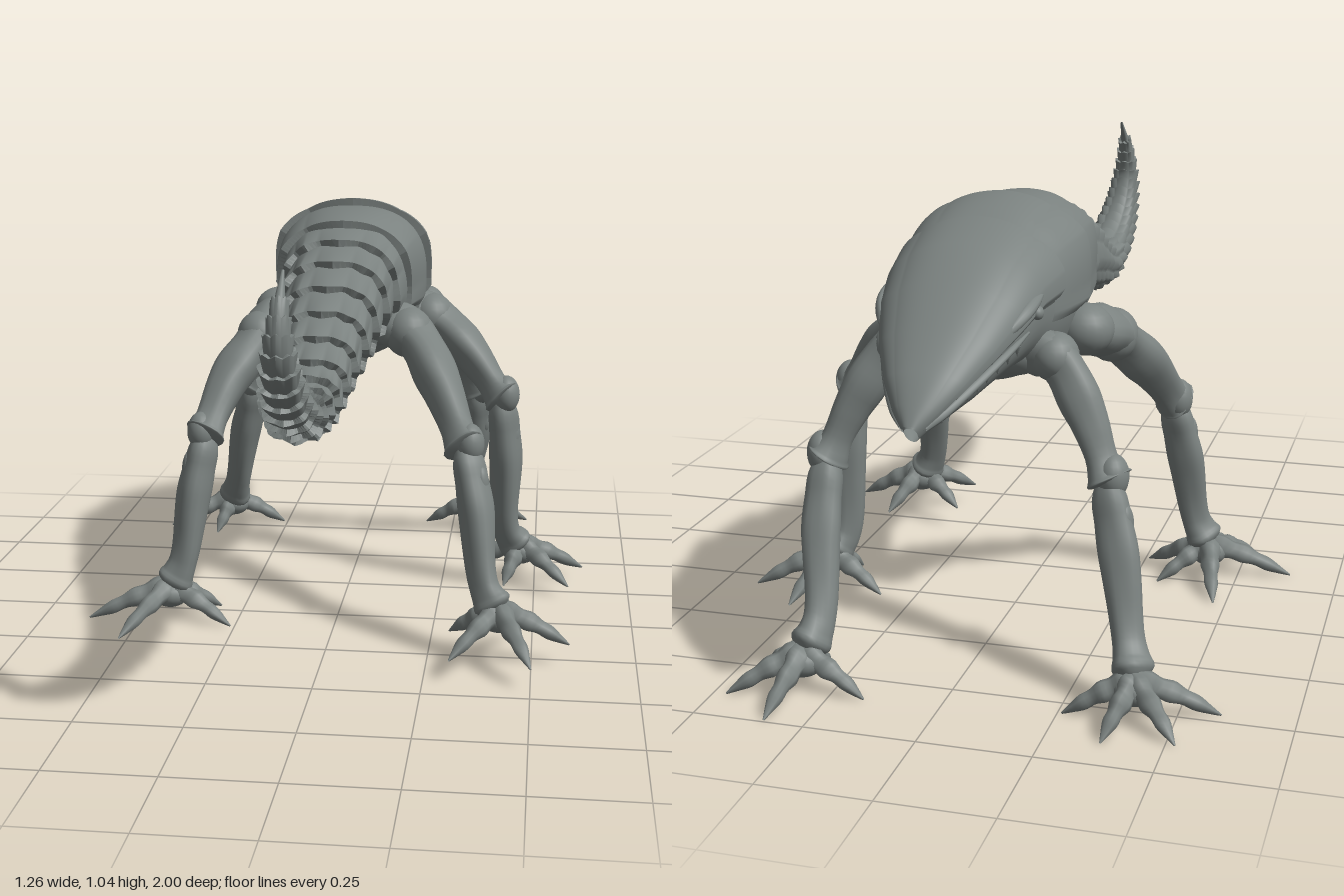
import * as THREE from 'three';
import { ParametricGeometry } from 'three/addons/geometries/ParametricGeometry.js';

const V = (x, y, z) => new THREE.Vector3(x, y, z);
const hide = new THREE.MeshStandardMaterial({ color: 0x7b8280, side: THREE.DoubleSide });
hide.name = 'greyHide';

// Spine stations from snout to tail tip: z, y, half width, height above, depth below
const STATIONS = [
  [-0.985, 0.66, 0.014, 0.02, 0.024], [-0.94, 0.695, 0.052, 0.036, 0.048],
  [-0.85, 0.745, 0.1, 0.06, 0.085], [-0.72, 0.80, 0.147, 0.1, 0.122],
  [-0.60, 0.83, 0.168, 0.138, 0.155], [-0.48, 0.83, 0.184, 0.17, 0.195],
  [-0.34, 0.83, 0.19, 0.182, 0.214], [-0.18, 0.83, 0.163, 0.163, 0.18],
  [-0.05, 0.82, 0.13, 0.132, 0.12], [0.10, 0.80, 0.11, 0.105, 0.095],
  [0.25, 0.765, 0.09, 0.082, 0.08], [0.40, 0.725, 0.07, 0.06, 0.062],
  [0.55, 0.69, 0.056, 0.045, 0.045], [0.70, 0.695, 0.046, 0.036, 0.036],
  [0.82, 0.735, 0.04, 0.034, 0.034], [0.91, 0.80, 0.033, 0.028, 0.03],
  [0.957, 0.88, 0.025, 0.022, 0.025], [0.945, 0.96, 0.014, 0.015, 0.017],
  [0.89, 1.035, 0.003, 0.003, 0.003],
];
const LAST = STATIONS.length - 1;
const spine = new THREE.CatmullRomCurve3(STATIONS.map(s => V(0, s[1], s[0])));
const girth = new THREE.CatmullRomCurve3(STATIONS.map(s => V(s[2], s[3], s[4])), false, 'catmullrom');

// Point on the body: station s, angle a from the top (positive toward +x), outward offset
function skin(s, a, offset = 0) {
  const t = THREE.MathUtils.clamp(s / LAST, 0, 1);
  const p = spine.getPoint(t), d = spine.getTangent(t), g = girth.getPoint(t);
  const sn = Math.sin(a), cs = Math.cos(a);
  const x = (g.x + offset) * Math.sign(sn) * Math.abs(sn) ** (cs > 0 ? 0.78 : 1);
  const h = cs > 0 ? (g.y + offset) * cs ** 0.78 : -(g.z + offset) * Math.abs(cs) ** 0.9;
  return V(x, p.y + h * d.z, p.z - h * d.y);
}

function surface(name, fn, nu, nv) {
  const geo = new ParametricGeometry((u, v, out) => out.copy(fn(u, v)), nu, nv);
  const mesh = new THREE.Mesh(geo, hide);
  mesh.name = name;
  return mesh;
}

// Armour plate between two stations, with a flared ragged rear edge and a lip
function plate(name, s0, s1, reach, flare, teeth, ragged) {
  const full = reach >= Math.PI - 0.01;
  const at = (u, v, lift) => {
    const a = reach * (1 - 2 * u);
    const fade = full ? 1 : Math.min(1, (1 - Math.abs(a) / reach) * 16);
    const jag = Math.abs(((Math.abs(a) * teeth / Math.PI) % 2) - 1);
    const s = s0 + (s1 - s0) * v * (1 + ragged * (jag - 0.5));
    return skin(s, a, lift ? fade * (0.003 + flare * v * (0.7 + 0.5 * jag)) : -0.003);
  };
  const g = new THREE.Group();
  g.name = name;
  g.add(surface(name + 'Shell', (u, v) => at(u, v, true), 60, 6),
    surface(name + 'Lip', (u, v) => at(u, 1, v < 0.5), 60, 1));
  return g;
}

// Tapered, slightly sinewy limb through points, with radii spread evenly along it
function limb(name, points, radii, ref = V(0, 0, 1), nu = 14, nv = 28) {
  const path = new THREE.CatmullRomCurve3(points);
  const size = new THREE.CatmullRomCurve3(radii.map(r => V(r, 0, 0)), false, 'catmullrom');
  return surface(name, (u, v) => {
    const p = path.getPoint(v), d = path.getTangent(v);
    const side = V().crossVectors(ref, d).normalize(), up = V().crossVectors(d, side);
    const a = 2 * Math.PI * u;
    const r = Math.max(0.001, size.getPoint(v).x) * (1 + 0.07 * Math.cos(3 * a + 5 * v));
    return p.addScaledVector(side, r * Math.cos(a)).addScaledVector(up, r * Math.sin(a));
  }, nu, nv);
}

function blob(name, p, sx, sy, sz) {
  const mesh = new THREE.Mesh(new THREE.SphereGeometry(1, 20, 14), hide);
  mesh.position.copy(p);
  mesh.scale.set(sx, sy, sz);
  mesh.name = name;
  return mesh;
}

// Leg: bulging thigh, bony knee, shin, and a foot with splayed clawed toes
function leg({ name, root, hip, knee, ankle, foot, ground, bulk, tips }) {
  const g = new THREE.Group();
  g.name = name;
  const R = V(...root), H = V(...hip), K = V(...knee), A = V(...ankle);
  const F = V(foot[0], ground + 0.075, foot[1]);
  const out = Math.sign(H.x);
  const thighMid = H.clone().lerp(K, 0.5).add(V(out * 0.01, 0.01, 0));
  const kneeEnd = K.clone().add(K.clone().sub(H).setLength(0.02));
  const shinMid = K.clone().lerp(A, 0.45).add(V(out * 0.006, 0, 0));
  const thighRadii = [0.04, 0.06, 0.06, 0.053, 0.056, 0.048, 0.041, 0.048, 0.049, 0.004];
  g.add(blob('shoulder', R, 0.066, 0.06, 0.066),
    blob('hipJoint', H, 0.062 * bulk, 0.064 * bulk, 0.068 * bulk),
    limb('thigh', [R, H, thighMid, K, kneeEnd], thighRadii.map((r, i) => (i < 7 ? r * bulk : r)),
      V(0, 0, 1), 18, 32),
    limb('shin', [K.clone().lerp(A, -0.05), shinMid, A, F],
      [0.01, 0.037, 0.041, 0.044, 0.041, 0.037, 0.036, 0.04, 0.045, 0.01], V(0, 0, 1), 18, 32),
    blob('kneecap', K.clone().add(V(out * 0.014, 0, 0)), 0.036, 0.05, 0.042),
    blob('calfKnob', K.clone().lerp(A, 0.3).add(V(out * 0.026, 0, 0)), 0.02, 0.05, 0.026),
    blob('footPad', F.clone().setY(ground + 0.065), 0.048, 0.036, 0.048));
  for (const [x, z] of tips) {
    const tip = V(x, ground + 0.003, z);
    const mid = F.clone().lerp(tip, 0.5).setY(ground + 0.05);
    const start = F.clone().setY(ground + 0.085);
    g.add(limb('toe', [start, mid, tip], [0.026, 0.03, 0.022, 0.024, 0.017, 0.017, 0.01, 0.002],
      V(0, 1, 0), 10, 20));
  }
  return g;
}

const LEGS = [
  { name: 'rearLeftLeg', root: [0.09, 0.75, -0.12], hip: [0.17, 0.73, -0.09], knee: [0.325, 0.51, 0.165],
    ankle: [0.385, 0.19, 0.265], foot: [0.42, 0.28], ground: 0.05, bulk: 1,
    tips: [[0.59, 0.28], [0.5, 0.45], [0.31, 0.42], [0.3, 0.22], [0.47, 0.14]] },
  { name: 'rearRightLeg', root: [-0.2, 0.735, -0.36], hip: [-0.23, 0.69, -0.22], knee: [-0.335, 0.48, 0.0],
    ankle: [-0.39, 0.15, 0.055], foot: [-0.425, 0.06], ground: 0, bulk: 1,
    tips: [[-0.47, -0.13], [-0.31, -0.03], [-0.63, 0.1], [-0.52, 0.24], [-0.26, 0.12]] },
  { name: 'middleLeftLeg', root: [0.1, 0.74, -0.37], hip: [0.21, 0.725, -0.36], knee: [0.4, 0.54, -0.25],
    ankle: [0.425, 0.16, -0.285], foot: [0.46, -0.31], ground: 0.03, bulk: 0.95,
    tips: [[0.5, -0.48], [0.63, -0.37], [0.59, -0.2], [0.31, -0.36], [0.42, -0.19]] },
  { name: 'frontLeftLeg', root: [0.09, 0.73, -0.54], hip: [0.18, 0.72, -0.555], knee: [0.325, 0.48, -0.62],
    ankle: [0.3, 0.15, -0.77], foot: [0.32, -0.82], ground: 0, bulk: 0.86,
    tips: [[0.17, -0.85], [0.34, -0.995], [0.47, -0.9], [0.45, -0.78], [0.31, -0.69]] },
  { name: 'frontRightLeg', root: [-0.09, 0.73, -0.54], hip: [-0.18, 0.72, -0.555], knee: [-0.31, 0.48, -0.615],
    ankle: [-0.385, 0.15, -0.72], foot: [-0.41, -0.77], ground: 0, bulk: 0.86,
    tips: [[-0.37, -0.91], [-0.52, -0.88], [-0.59, -0.72], [-0.44, -0.66], [-0.26, -0.8]] },
];

export function createModel() {
  const model = new THREE.Group();
  model.name = 'armouredCreature';
  model.add(surface('body', (u, v) => skin(v * LAST, Math.PI * (1 - 2 * u)), 48, 110));

  // Head shield and broad back plates
  model.add(plate('headShield', 0.05, 4.6, 1.55, 0.014, 5, 0.03),
    plate('neckPlate', 4.4, 6.0, 1.75, 0.02, 6, 0.06),
    plate('backPlate', 5.75, 7.35, 1.85, 0.022, 6, 0.08));

  // Overlapping spiky rings shrinking toward the tail tip
  for (let s = 7.1, i = 0; s < 17; i++) {
    const step = Math.max(0.4, 0.8 - 0.035 * i);
    const reach = Math.min(Math.PI, 1.85 + 0.3 * Math.max(0, s - 7));
    const end = Math.min(LAST - 0.5, s + step * 1.2);
    const flare = Math.min(0.02, girth.getPoint(end / LAST).x * 0.42);
    model.add(plate('tailRing', s, end, reach, flare, s < 12 ? 12 : 8, 0.16));
    s += step;
  }

  // Face: eyes, brow ridges, lips and small teeth
  for (const m of [-1, 1]) {
    model.add(blob('eye', skin(3.55, m * 1.47, 0.01), 0.013, 0.015, 0.017),
      limb('browRidge', [skin(2.6, m * 1.3), skin(3.2, m * 1.28, 0.01), skin(4.1, m * 1.3, 0.004)],
        [0.002, 0.01, 0.014, 0.012, 0.002], V(0, 1, 0)),
      limb('lip', [0.3, 1, 2, 2.8, 3.3].map(s => skin(s, m * 1.62, 0.001)),
        [0.004, 0.008, 0.009, 0.008, 0.003], V(0, 1, 0)));
    for (let s = 0.9; s < 3.1; s += 0.25) {
      const tooth = new THREE.Mesh(new THREE.ConeGeometry(0.008, 0.022, 6), hide);
      tooth.position.copy(skin(s, m * 1.74, 0.002));
      tooth.rotation.x = Math.PI;
      tooth.name = 'tooth';
      model.add(tooth);
    }
  }

  LEGS.forEach(l => model.add(leg(l)));
  return model;
}
